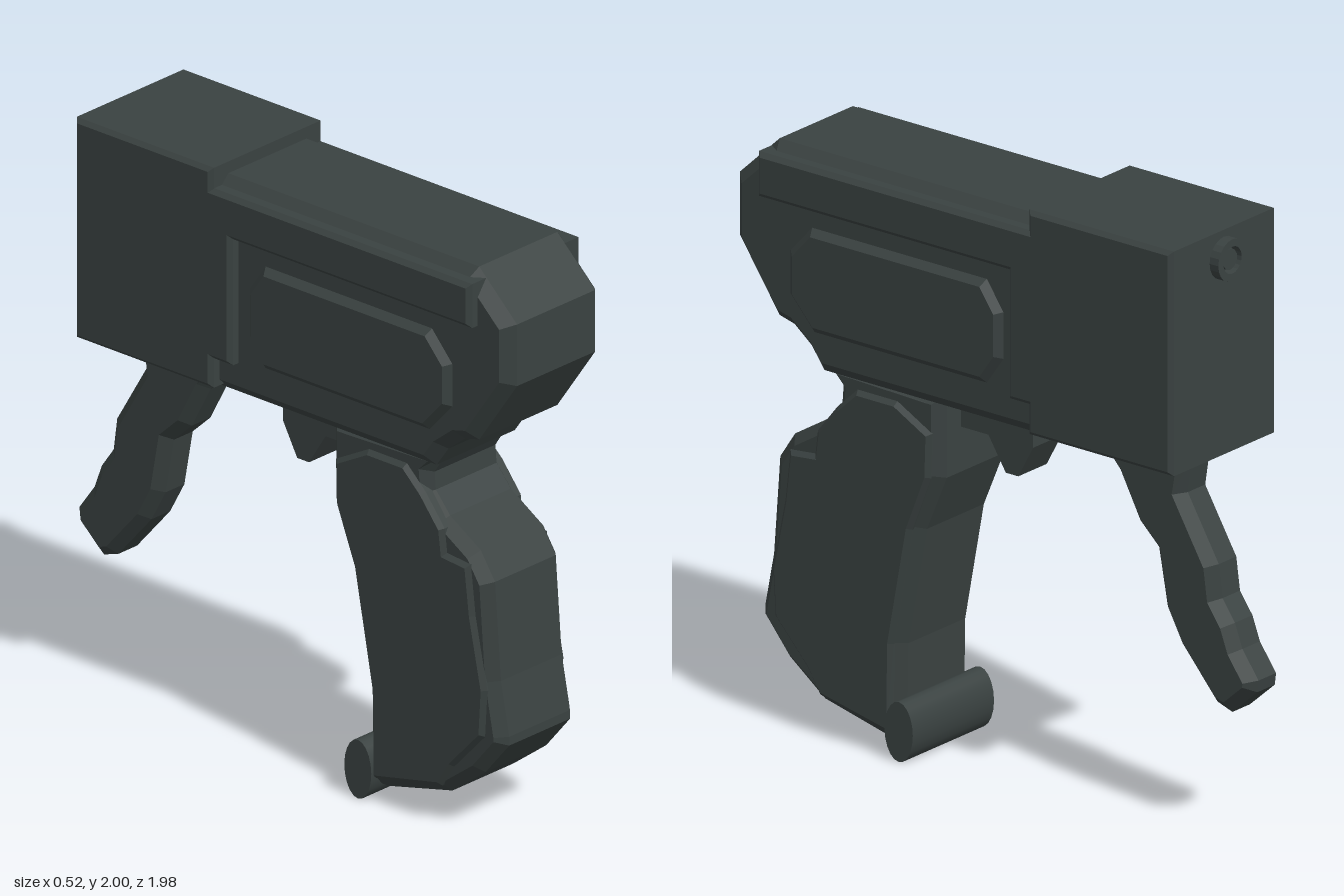
import * as THREE from 'three';

const gunmetal = new THREE.MeshStandardMaterial({ color: 0x3a4241 });
gunmetal.name = 'dark gunmetal';

// Side profile of [z, y] points, extruded across x with chamfered edges
function slab(name, points, half, bevel) {
  const shape = new THREE.Shape(points.map(([z, y]) => new THREE.Vector2(z, y)));
  const geo = new THREE.ExtrudeGeometry(shape, {
    depth: 2 * (half - bevel), bevelEnabled: bevel > 0, bevelSegments: 1,
    bevelSize: bevel, bevelThickness: bevel, bevelOffset: -bevel,
  });
  geo.translate(0, 0, bevel - half);
  geo.rotateY(-Math.PI / 2);
  const mesh = new THREE.Mesh(geo, gunmetal);
  mesh.name = name;
  return mesh;
}

const rect = (z0, z1, y0, y1) => [[z0, y0], [z1, y0], [z1, y1], [z0, y1]];

export function createModel() {
  const model = new THREE.Group();
  model.name = 'handheldTool';

  // Main housing with angled nose
  model.add(slab('housing', [
    [-0.72, 1.23], [0.65, 1.23], [0.70, 1.30], [0.77, 1.355], [0.83, 1.37],
    [0.99, 1.60], [0.99, 1.81], [0.83, 1.96], [-0.72, 1.96],
  ], 0.22, 0.04));

  // Side rail that wraps down beside the rear block
  model.add(slab('sideRail', [
    [0.86, 1.78], [0.86, 1.93], [-0.30, 1.93], [-0.30, 1.27], [-0.23, 1.27],
    [-0.23, 1.35], [-0.15, 1.35], [-0.15, 1.78],
  ], 0.26, 0.015));

  // Raised octagonal side panels
  model.add(slab('sidePanel', [
    [0.66, 1.36], [-0.04, 1.36], [-0.11, 1.46], [-0.11, 1.62], [-0.04, 1.72],
    [0.67, 1.72], [0.76, 1.62], [0.76, 1.47],
  ], 0.243, 0.03));

  // Rear block and its underside plate
  model.add(slab('rearBlock', rect(-0.81, -0.23, 1.25, 2.0), 0.26, 0.014));
  model.add(slab('undersidePlate', rect(-0.72, 0.62, 1.225, 1.26), 0.17, 0.005));

  // Round rear port with a recessed centre
  const ring = new THREE.Shape().absarc(0, 0, 0.07, 0, Math.PI * 2);
  ring.holes.push(new THREE.Path().absarc(0, 0, 0.045, 0, Math.PI * 2, true));
  const port = new THREE.Mesh(new THREE.ExtrudeGeometry(ring, {
    depth: 0.045, bevelEnabled: false, curveSegments: 10,
  }), gunmetal);
  port.position.set(0, 1.907, -0.845);
  port.name = 'rearPort';
  model.add(port);
  const core = new THREE.Mesh(new THREE.CylinderGeometry(0.035, 0.035, 0.03, 10), gunmetal);
  core.rotation.x = Math.PI / 2;
  core.position.set(0, 1.907, -0.82);
  core.name = 'portCore';
  model.add(core);

  // Grip body
  model.add(slab('grip', [
    [0.65, 1.25], [0.605, 1.18], [0.61, 1.12], [0.67, 1.05], [0.80, 0.97], [0.86, 0.88],
    [0.885, 0.55], [0.92, 0.37], [0.92, 0.34], [0.82, 0.22], [0.68, 0.115], [0.41, 0.05],
    [0.35, 0.05], [0.345, 0.38], [0.27, 0.78], [0.19, 0.97], [0.19, 1.25],
  ], 0.175, 0.035));

  // Grip side covers
  model.add(slab('gripCover', [
    [0.60, 1.12], [0.52, 1.195], [0.36, 1.195], [0.22, 1.12], [0.225, 0.97], [0.30, 0.78],
    [0.375, 0.38], [0.38, 0.08], [0.67, 0.14], [0.72, 0.22], [0.85, 0.36], [0.86, 0.52],
    [0.81, 0.76], [0.79, 0.93], [0.69, 0.94], [0.68, 1.02],
  ], 0.19, 0.015));

  // Oval bar at the foot of the grip
  const bar = new THREE.Mesh(new THREE.CylinderGeometry(0.1, 0.1, 0.4, 20), gunmetal);
  bar.rotation.z = Math.PI / 2;
  bar.scale.z = 0.57;
  bar.position.set(0, 0.104, 0.335);
  bar.name = 'footBar';
  model.add(bar);

  // Trigger
  model.add(slab('trigger', [
    [0.20, 1.24], [0.20, 1.12], [0.08, 1.12], [0.01, 1.01], [-0.04, 1.01],
    [-0.10, 1.12], [-0.10, 1.24],
  ], 0.07, 0));

  // Curved rear lever
  model.add(slab('rearLever', [
    [-0.34, 1.24], [-0.43, 1.12], [-0.51, 0.97], [-0.585, 0.90], [-0.62, 0.71],
    [-0.68, 0.60], [-0.82, 0.44], [-0.88, 0.42], [-0.98, 0.51], [-0.985, 0.55],
    [-0.92, 0.64], [-0.89, 0.72], [-0.84, 0.79], [-0.825, 0.90], [-0.70, 1.11], [-0.72, 1.24],
  ], 0.078, 0.035));

  return model;
}
